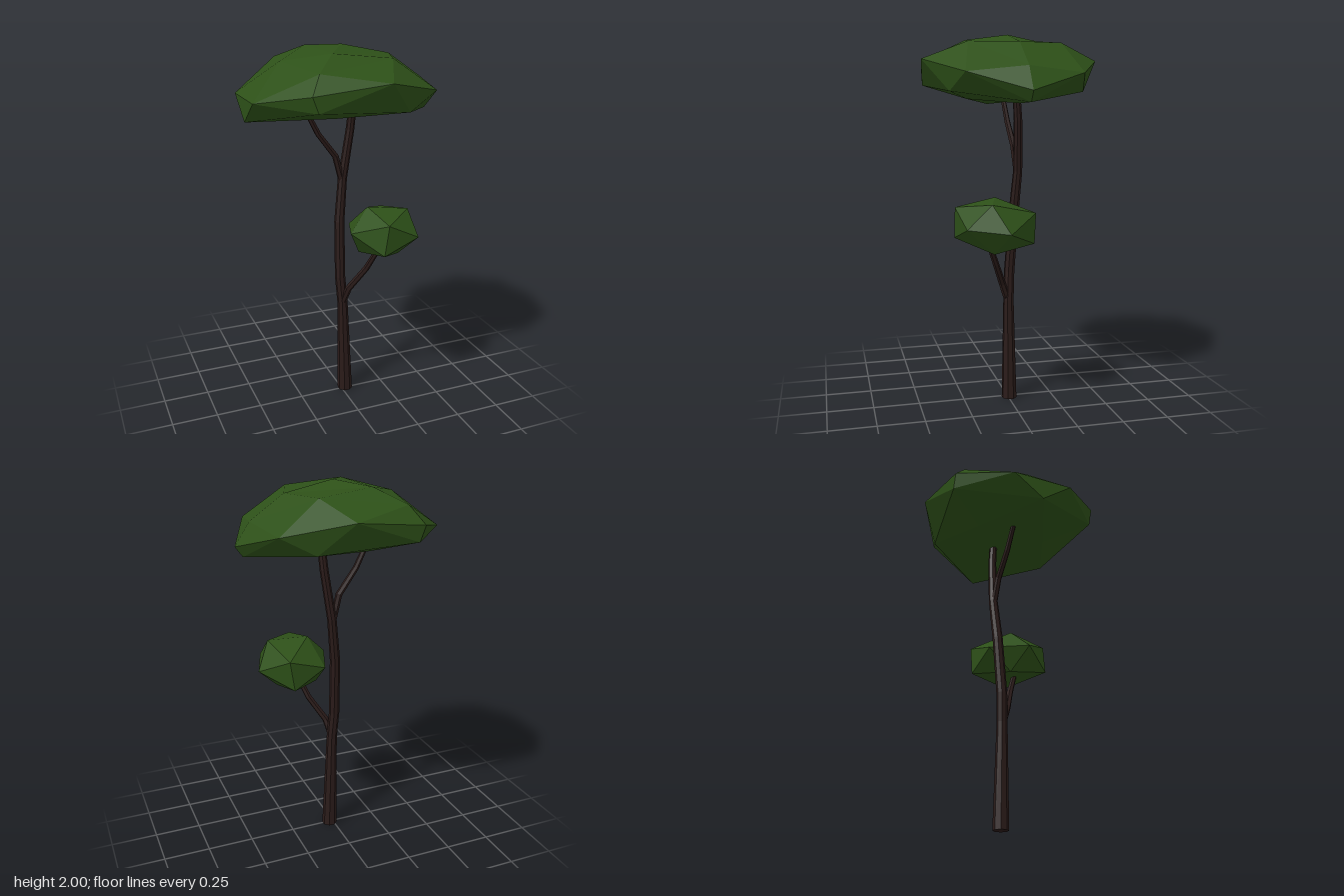
import * as THREE from 'three';
import { ConvexGeometry } from 'three/addons/geometries/ConvexGeometry.js';

const leaf = new THREE.MeshStandardMaterial({ color: 0x2d5018, flatShading: true });
const bark = new THREE.MeshStandardMaterial({ color: 0x2a1b19, flatShading: true });

function buildGeometry(points, faces) {
  const g = new THREE.BufferGeometry();
  g.setAttribute('position', new THREE.Float32BufferAttribute(points.flat(), 3));
  g.setIndex(faces.flat());
  const flat = g.toNonIndexed();
  flat.computeVertexNormals();
  return flat;
}

// Tapered, faceted limb through [x, y, z, radius] stations
function limb(stations, sides) {
  const centres = stations.map(s => new THREE.Vector3(s[0], s[1], s[2]));
  const up = new THREE.Vector3(0, 1, 0);
  const points = [], faces = [], last = centres.length - 1;
  centres.forEach((c, i) => {
    const dir = centres[Math.min(i + 1, last)].clone().sub(centres[Math.max(i - 1, 0)]).normalize();
    const q = new THREE.Quaternion().setFromUnitVectors(up, i === 0 ? up : dir);
    const r = stations[i][3];
    for (let j = 0; j < sides; j++) {
      const a = (j + 0.5) / sides * Math.PI * 2;
      const p = new THREE.Vector3(Math.cos(a) * r, 0, Math.sin(a) * r).applyQuaternion(q).add(c);
      points.push(p.toArray());
    }
  });
  for (let i = 0; i < last; i++) {
    for (let j = 0; j < sides; j++) {
      const a = i * sides + j, b = i * sides + (j + 1) % sides;
      faces.push([a, a + sides, b], [b, a + sides, b + sides]);
    }
  }
  // End caps
  const top = last * sides;
  for (let j = 1; j < sides - 1; j++) faces.push([0, j, j + 1], [top, top + j + 1, top + j]);
  return buildGeometry(points, faces);
}

// Complete a ring from its z >= 0 half, which runs from +x round to -x
function mirrorRing(half) {
  const back = half.filter(p => p[2] > 0).reverse().map(([x, y, z]) => [x, y, -z]);
  return [...half, ...back];
}

// Canopy: rings of 1, 3, 6, 9, 6, 3, 1 points, meshed in three sectors
function canopyGeometry() {
  const rim = mirrorRing([[0.52, 1.70, 0], [0.39, 1.79, 0.30], [0.07, 1.865, 0.47],
    [-0.31, 1.82, 0.42], [-0.52, 1.76, 0.165]]);
  const upper = [
    [[0, 2.0, 0]],
    mirrorRing([[0.26, 1.945, 0], [-0.13, 1.98, 0.20]]),
    mirrorRing([[0.44, 1.82, 0], [0.17, 1.95, 0.245], [-0.25, 1.91, 0.35], [-0.33, 1.93, 0]]),
    rim,
  ];
  const lower = [
    [[0, 1.675, 0]],
    mirrorRing([[0.27, 1.64, 0], [-0.11, 1.665, 0.20]]),
    mirrorRing([[0.48, 1.645, 0], [0.22, 1.70, 0.35], [-0.28, 1.74, 0.42], [-0.52, 1.64, 0]]),
    rim,
  ];
  const points = [], faces = [];
  [upper, lower].forEach((rings, side) => {
    const starts = [];
    for (const ring of rings) {
      starts.push(points.length);
      points.push(...ring);
    }
    const at = (k, n) => starts[k] + n % rings[k].length;
    const add = (a, b, c) => faces.push(side === 0 ? [a, c, b] : [a, b, c]);
    for (let s = 0; s < 3; s++) {
      for (let k = 0; k < 3; k++) {
        for (let j = 0; j <= k; j++) {
          const inner = s * k + j, outer = s * (k + 1) + j;
          add(at(k, inner), at(k + 1, outer), at(k + 1, outer + 1));
          if (j < k) add(at(k, inner), at(k + 1, outer + 1), at(k, inner + 1));
        }
      }
    }
  });
  return buildGeometry(points, faces);
}

// Small leaf clump: squashed twenty-sided solid made of six opposite corner pairs
function clumpGeometry() {
  const half = [[-0.205, 0.02, 0.04], [-0.085, 0.138, -0.02], [0.125, 0.123, 0.04],
    [-0.055, 0.095, 0.2], [-0.08, -0.07, 0.2], [0.13, 0, 0.17]];
  const corners = half.flatMap(p => [new THREE.Vector3(...p), new THREE.Vector3(...p).negate()]);
  return new ConvexGeometry(corners);
}

export function createModel() {
  const tree = new THREE.Group();
  tree.name = 'tree';
  const add = (name, geometry, material) => {
    const mesh = new THREE.Mesh(geometry, material);
    mesh.name = name;
    tree.add(mesh);
    return mesh;
  };

  add('trunk', limb([
    [0.022, 0, -0.005, 0.042], [0.007, 0.56, -0.005, 0.029], [-0.005, 0.72, -0.012, 0.029],
    [0, 1.04, -0.035, 0.028], [0.025, 1.28, -0.052, 0.025], [0.065, 1.55, -0.043, 0.023],
    [0.078, 1.71, -0.03, 0.021],
  ], 8), bark);
  add('lowerBranch', limb([
    [0.005, 0.56, 0, 0.02], [0.028, 0.66, 0.035, 0.019],
    [0.11, 0.79, 0.09, 0.017], [0.165, 0.93, 0.145, 0.014],
  ], 6), bark);
  add('upperBranch', limb([
    [0.022, 1.26, -0.05, 0.019], [-0.02, 1.41, -0.04, 0.018],
    [-0.12, 1.54, -0.03, 0.016], [-0.205, 1.70, -0.02, 0.013],
  ], 6), bark);

  add('canopy', canopyGeometry(), leaf);
  add('leafClump', clumpGeometry(), leaf).position.set(0.195, 1.012, 0.115);
  return tree;
}
